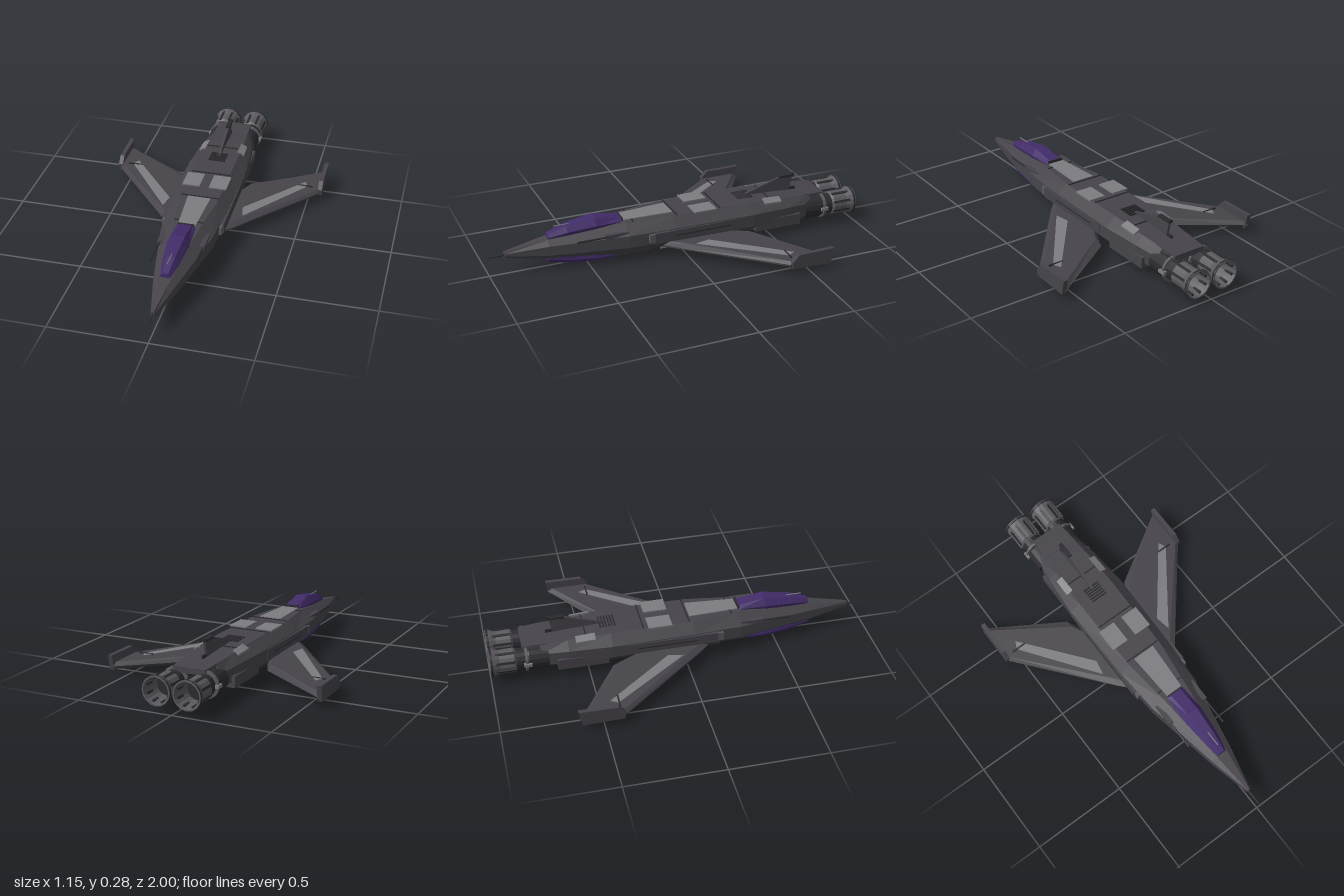
import * as THREE from 'three';

const paint = (name, color) => {
  const m = new THREE.MeshStandardMaterial({ color });
  m.name = name;
  return m;
};

// Flat-shaded skin over rings of [x, y, z] points, with both ends capped
function loft(rings) {
  const pos = [], n = rings[0].length;
  const tri = (a, b, c) => pos.push(...a, ...b, ...c);
  for (let r = 0; r < rings.length - 1; r++) {
    const A = rings[r], B = rings[r + 1];
    for (let i = 0; i < n; i++) {
      const j = (i + 1) % n;
      tri(A[i], B[i], B[j]);
      tri(A[i], B[j], A[j]);
    }
  }
  const first = rings[0], last = rings[rings.length - 1];
  for (let i = 1; i < n - 1; i++) {
    tri(first[0], first[i], first[i + 1]);
    tri(last[0], last[i + 1], last[i]);
  }
  const g = new THREE.BufferGeometry();
  g.setAttribute('position', new THREE.Float32BufferAttribute(pos, 3));
  g.computeVertexNormals();
  return g;
}

// Symmetric ring at z from its +x half, listed bottom to top
const ring = (z, half) => [
  ...half.map(([x, y]) => [x, y, z]),
  ...half.slice().reverse().map(([x, y]) => [-x, y, z]),
];

// Thin plate: top corners, extruded downwards by t
function slab(corners, t = 0.006) {
  let area = 0;
  corners.forEach((p, i) => {
    const q = corners[(i + 1) % corners.length];
    area += p[2] * q[0] - p[0] * q[2];
  });
  const top = area > 0 ? corners : corners.slice().reverse();
  return loft([top, top.map(([x, y, z]) => [x, y - t, z])]);
}

// Mirror across x = 0, keeping the faces outward
function mirrorX(geometry) {
  const g = geometry.index ? geometry.toNonIndexed() : geometry.clone();
  const p = g.attributes.position;
  for (let i = 0; i < p.count; i += 3) {
    const v = [0, 2, 1].map((k) => [-p.getX(i + k), p.getY(i + k), p.getZ(i + k)]);
    v.forEach((c, k) => p.setXYZ(i + k, ...c));
  }
  g.computeVertexNormals();
  return g;
}

const box = (x0, x1, y0, y1, z0, z1) =>
  new THREE.BoxGeometry(x1 - x0, y1 - y0, z1 - z0).translate((x0 + x1) / 2, (y0 + y1) / 2, (z0 + z1) / 2);
const rod = (x, y, z0, z1, r0, r1 = r0) =>
  new THREE.CylinderGeometry(r1, r0, z1 - z0, 8).rotateX(Math.PI / 2).translate(x, y, (z0 + z1) / 2);

export function createModel() {
  const hull = paint('hull charcoal', 0x46444a);
  const dark = paint('dark trim', 0x2c2a2f);
  const grey = paint('light grey panel', 0x7c7c81);
  const metal = paint('engine metal', 0x5a5a5f);
  const purple = paint('purple glass', 0x422c69);

  const model = new THREE.Group();
  const add = (name, geometry, material, parent = model) => {
    const m = new THREE.Mesh(geometry, material);
    m.name = name;
    parent.add(m);
    return m;
  };
  const pair = (name, geometry, material) => {
    add(name + 'Left', geometry, material);
    add(name + 'Right', mirrorX(geometry), material);
  };

  // Fuselage: z, top half width, top y, side half width, side y's, belly half width, belly y
  const sections = [
    [0.92, 0.006, 0.122, 0.01, 0.112, 0.1, 0.006, 0.09],
    [0.7, 0.03, 0.158, 0.06, 0.135, 0.085, 0.03, 0.055],
    [0.3, 0.07, 0.198, 0.135, 0.15, 0.085, 0.06, 0.018],
    [0.05, 0.1, 0.203, 0.152, 0.155, 0.09, 0.07, 0.012],
    [-0.38, 0.105, 0.203, 0.16, 0.155, 0.09, 0.075, 0.018],
    [-0.6, 0.1, 0.192, 0.142, 0.15, 0.08, 0.07, 0.028],
    [-0.74, 0.09, 0.182, 0.12, 0.14, 0.07, 0.06, 0.038],
  ];
  add('fuselage', loft(sections.map(([z, tw, yt, hw, y1, y2, bw, yb]) =>
    ring(z, [[bw, yb], [hw, y2], [hw, y1], [tw, yt]]))), hull);
  add('tailDeck', loft([
    ring(-0.7, [[0.095, 0.145], [0.095, 0.186]]),
    ring(-0.83, [[0.088, 0.15], [0.085, 0.179]]),
  ]), hull);
  add('noseProbe', rod(0, 0.105, 0.9, 1, 0.006, 0.004), dark);

  // Upper canopy and matching belly pod
  const canopy = [
    [0.695, 0.02, 0.15, 0.026, 0.165, 0.014, 0.182],
    [0.6, 0.036, 0.155, 0.043, 0.185, 0.022, 0.213],
    [0.45, 0.05, 0.165, 0.056, 0.2, 0.03, 0.235],
    [0.31, 0.046, 0.18, 0.05, 0.198, 0.03, 0.212],
  ];
  add('canopy', loft(canopy.map(([z, a, ya, b, yb, c, yc]) => ring(z, [[a, ya], [b, yb], [c, yc]]))), purple);
  const pod = [
    [0.7, 0.02, 0.034, 0.032, 0.05, 0.028, 0.066],
    [0.6, 0.036, 0.014, 0.048, 0.035, 0.045, 0.07],
    [0.45, 0.05, 0.004, 0.058, 0.02, 0.05, 0.06],
    [0.36, 0.052, 0.008, 0.056, 0.02, 0.05, 0.04],
  ];
  add('bellyPod', loft(pod.map(([z, a, ya, b, yb, c, yc]) => ring(z, [[a, ya], [b, yb], [c, yc]]))), purple);
  add('canopyFrameRear', box(-0.042, 0.042, 0.2, 0.215, 0.304, 0.312), dark);
  add('canopyRail', rod(0, 0.214, 0.57, 0.66, 0.003), grey);
  add('bellyKeel', loft([
    ring(0.36, [[0.045, 0.005], [0.06, 0.03]]),
    ring(0.1, [[0.045, 0.001], [0.07, 0.03]]),
    ring(-0.25, [[0.035, 0.005], [0.06, 0.03]]),
    ring(-0.7, [[0.025, 0.027], [0.04, 0.045]]),
  ]), hull);

  // Wings: x, leading z, trailing z, bottom y, top y
  const wing = [
    [0.56, -0.39, -0.62, 0.032, 0.068],
    [0.19, 0.065, -0.385, 0.043, 0.083],
    [0.14, 0.12, -0.28, 0.045, 0.085],
  ].map(([x, zl, zt, y0, y1]) => {
    const at = (f, y) => [x, y, zl + (zt - zl) * f];
    const mid = (y0 + y1) / 2;
    return [at(0.9, y1), at(0.1, y1), at(0, mid + 0.004), at(0, mid - 0.004), at(0.1, y0), at(0.9, y0), at(1, mid)];
  });
  pair('wing', loft(wing), hull);
  pair('wingPanel', slab([[0.475, 0.0745, -0.455], [0.495, 0.0735, -0.415], [0.215, 0.0845, -0.025], [0.2, 0.085, -0.105]], 0.005), grey);
  pair('wingTipFence', loft([0.575, 0.552].map((x) =>
    [[x, 0.11, -0.625], [x, 0.108, -0.43], [x, 0.07, -0.395], [x, 0.035, -0.4], [x, 0.03, -0.61]])), hull);
  pair('wingHinge', box(0.44, 0.52, 0.068, 0.077, -0.418, -0.41), dark);

  // Dorsal fin with its cap
  add('fin', loft([0.006, -0.006].map((x) =>
    [[x, 0.266, -0.68], [x, 0.268, -0.6], [x, 0.206, -0.4], [x, 0.19, -0.38], [x, 0.18, -0.66]])), hull);
  add('finCap', box(-0.011, 0.011, 0.264, 0.276, -0.685, -0.6), dark);
  add('finTip', box(-0.008, 0.008, 0.27, 0.281, -0.69, -0.675), dark);
  add('finBase', box(-0.004, 0.004, 0.18, 0.202, -0.7, -0.33), dark);

  // Light deck plates
  add('spinePlate', slab([[-0.045, 0.204, 0.3], [0.045, 0.204, 0.3], [0.06, 0.208, 0.04], [-0.06, 0.208, 0.04]], 0.009), grey);
  pair('deckPlate', box(0.025, 0.118, 0.202, 0.21, -0.185, -0.062), grey);
  pair('rearDeckPlate', slab([[0.09, 0.209, -0.46], [0.126, 0.192, -0.46], [0.123, 0.187, -0.56], [0.09, 0.203, -0.56]], 0.009), grey);

  // Dark seams and cooling vents
  [[0.26, 0.075, 0.2], [0.03, 0.1, 0.204], [-0.21, 0.104, 0.204], [-0.505, 0.1, 0.198]].forEach(([z, w, y], i) =>
    add('deckSeam' + i, box(-w, w, y - 0.006, y + 0.003, z - 0.003, z + 0.003), dark));
  for (let i = 0; i < 6; i++) {
    const z = -0.425 + i * 0.015;
    add('vent' + i, box(-0.045, 0.045, 0.196, 0.208, z, z + 0.007), dark);
  }

  // Side fittings
  pair('intakeFairing', box(0.13, 0.162, 0.095, 0.15, -0.33, 0.17), hull);
  pair('intakePanel', box(0.125, 0.157, 0.1, 0.145, 0.1, 0.2), metal);
  pair('sidePod', box(0.1, 0.15, 0.05, 0.108, -0.66, -0.4), hull);
  pair('sideSlot', box(0.12, 0.164, 0.12, 0.126, -0.25, 0.06), dark);
  pair('gunBarrel', rod(0.11, 0.155, 0.3, 0.57, 0.005), dark);
  pair('gunMount', box(0.095, 0.12, 0.145, 0.168, 0.3, 0.42), hull);
  pair('bellyRail', box(0.078, 0.09, 0.022, 0.036, -0.4, 0.2), dark);
  pair('bellyPanel', slab([[0.082, 0.032, 0.12], [0.098, 0.036, 0.12], [0.098, 0.036, -0.08], [0.082, 0.032, -0.08]], 0.008), grey);

  // Twin engines: distance aft is listed second in each profile
  const body = [[0, 0.7], [0.06, 0.7], [0.062, 0.8], [0.055, 0.815], [0.055, 0.87]];
  const nozzle = [[0.055, 0.865], [0.064, 0.875], [0.062, 0.95], [0.073, 0.985], [0.073, 1],
    [0.066, 1], [0.056, 0.95], [0.05, 0.9]];
  const lathe = (pts) => new THREE.LatheGeometry(pts.map((p) => new THREE.Vector2(...p)), 16)
    .rotateX(-Math.PI / 2).toNonIndexed();
  const flat = (g) => { g.computeVertexNormals(); return g; };
  for (const s of [1, -1]) {
    const engine = new THREE.Group();
    engine.name = s > 0 ? 'engineLeft' : 'engineRight';
    engine.position.set(s * 0.08, 0.105, 0);
    model.add(engine);
    add('engineBody', flat(lathe(body)), dark, engine);
    add('engineCollar', flat(lathe([[0.056, 0.806], [0.069, 0.808], [0.069, 0.82], [0.054, 0.822]])), metal, engine);
    add('nozzle', flat(lathe(nozzle)), metal, engine);
    add('nozzleCore', new THREE.CircleGeometry(0.052, 16).rotateY(Math.PI).translate(0, 0, -0.9), dark, engine);
    add('nozzleLip', flat(lathe([[0.07, 0.984], [0.0745, 0.986], [0.0745, 0.996], [0.07, 0.998]])), dark, engine);
    for (let i = 0; i < 8; i++) {
      const rib = add('nozzleRib' + i, box(-0.006, 0.006, 0.054, 0.067, -0.985, -0.872), dark, engine);
      rib.rotation.z = (i + 0.5) * Math.PI / 4;
    }
    add('engineTab', box(-0.008, 0.008, 0.05, 0.073, -0.83, -0.79), grey, engine).rotation.z = -s * Math.PI / 2;
  }
  return model;
}
